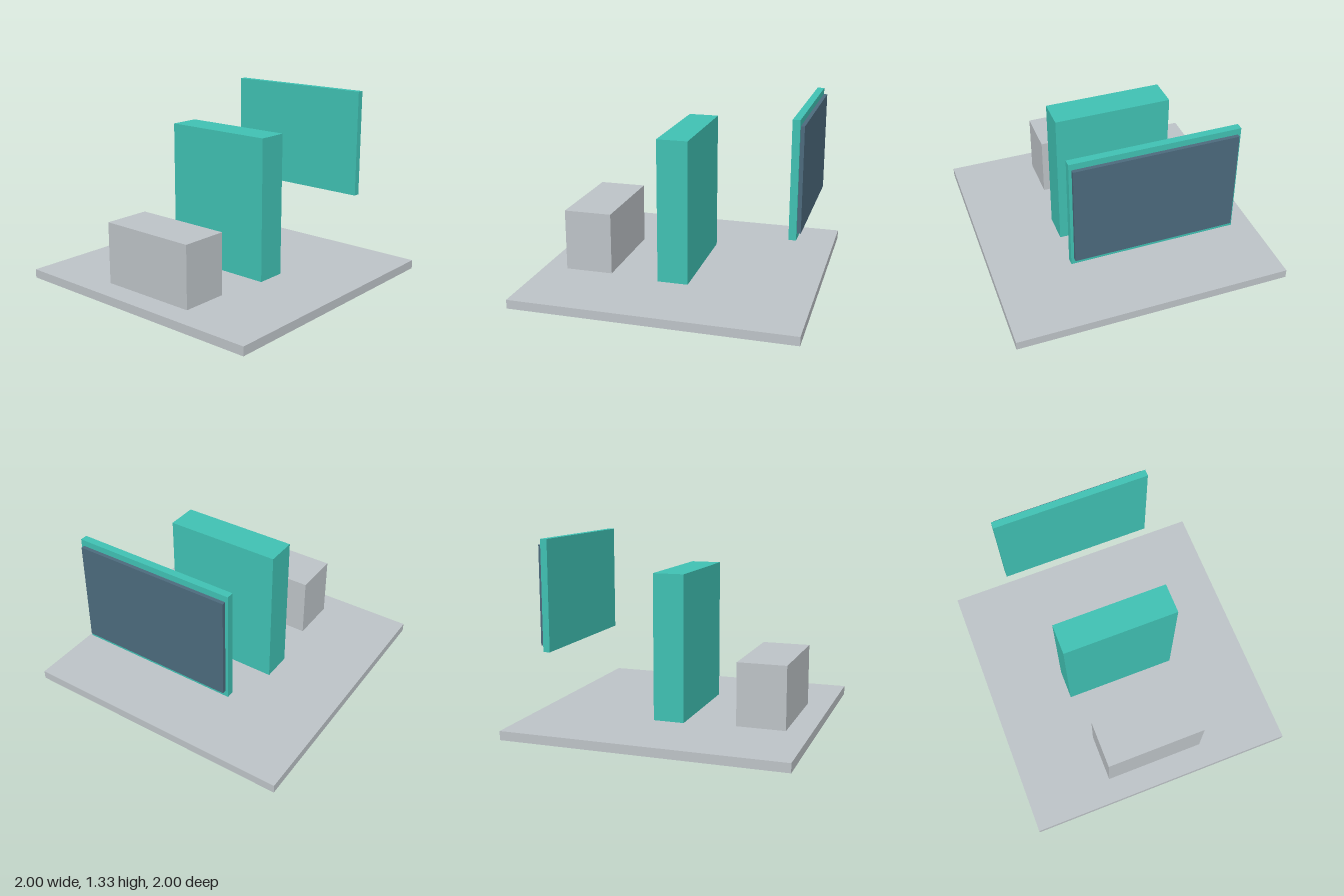
import * as THREE from 'three';

const material = (name, color) => {
  const m = new THREE.MeshStandardMaterial({ color });
  m.name = name;
  return m;
};

export function createModel() {
  const grey = material('light grey', 0xbdc3c7);
  const teal = material('teal', 0x40c1b3);
  const slate = material('slate blue', 0x4c6a7d);

  const model = new THREE.Group();
  model.name = 'displayStand';

  // Box spanning the given ranges, centred on x = 0
  const addBox = (name, mat, width, [y0, y1], [z0, z1]) => {
    const mesh = new THREE.Mesh(new THREE.BoxGeometry(width, y1 - y0, z1 - z0), mat);
    mesh.position.set(0, (y0 + y1) / 2, (z0 + z1) / 2);
    mesh.name = name;
    model.add(mesh);
  };

  // Floor slab and the low block at the front
  addBox('floor', grey, 2, [0, 0.064], [-1, 1]);
  addBox('frontBlock', grey, 0.745, [0.05, 0.514], [0.476, 0.825]);

  // Tall central panel, set into the floor
  addBox('centrePanel', teal, 0.84, [0.001, 1.103], [-0.111, 0.111]);

  // Floating rear panel with its screen facing backwards
  addBox('rearFrame', teal, 1.14, [0.53, 1.328], [-0.886, -0.836]);
  addBox('rearScreen', slate, 1.1, [0.572, 1.285], [-0.912, -0.884]);

  return model;
}
